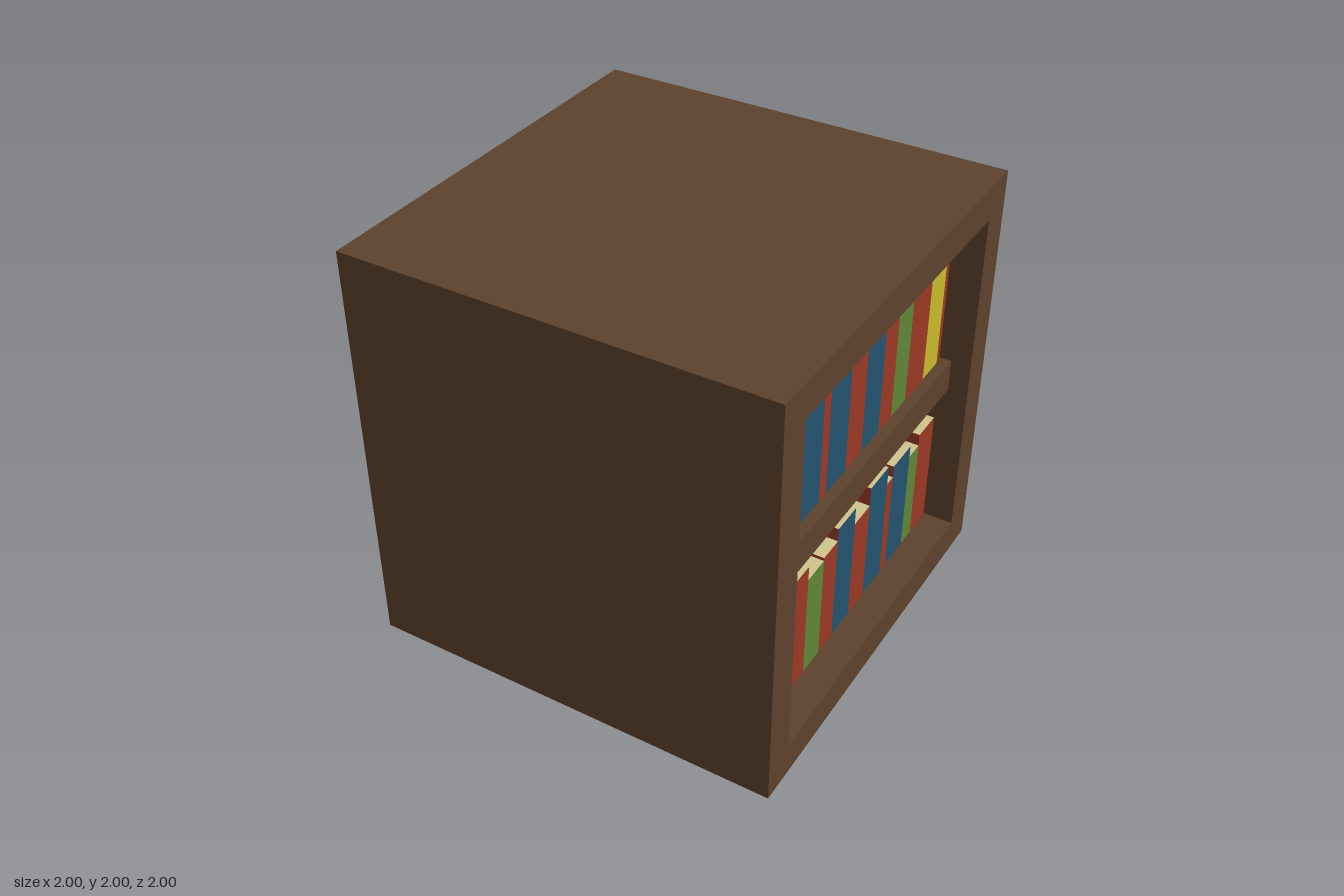
import * as THREE from 'three';

const mat = (name, color) => {
  const m = new THREE.MeshStandardMaterial({ color });
  m.name = name;
  return m;
};

export function createModel() {
  const group = new THREE.Group();
  group.name = 'bookcase';
  const wood = mat('brown wood', 0x5d422d);
  const red = mat('red cover', 0x9a3924);
  const blue = mat('blue spine', 0x23536f);
  const green = mat('green spine', 0x5f8536);
  const yellow = mat('yellow spine', 0xc9ba2e);
  const paper = mat('cream paper', 0xd0c48e);

  // Box given by its lower and upper corners
  const box = (name, [x0, y0, z0], [x1, y1, z1], material, parent = group) => {
    const mesh = new THREE.Mesh(new THREE.BoxGeometry(x1 - x0, y1 - y0, z1 - z0), material);
    mesh.position.set((x0 + x1) / 2, (y0 + y1) / 2, (z0 + z1) / 2);
    mesh.name = name;
    parent.add(mesh);
    return mesh;
  };

  // Cube case, open on the +x side
  const outline = new THREE.Shape([[-1, 0], [1, 0], [1, 2], [-1, 2]].map(([a, b]) => new THREE.Vector2(a, b)));
  const w = 0.836;
  outline.holes.push(new THREE.Path([[-w, 0.165], [-w, 1.837], [w, 1.837], [w, 0.165]].map(([a, b]) => new THREE.Vector2(a, b))));
  const caseGeo = new THREE.ExtrudeGeometry(outline, { depth: 2, bevelEnabled: false });
  caseGeo.rotateY(Math.PI / 2).translate(-1, 0, 0);
  const frame = new THREE.Mesh(caseGeo, wood);
  frame.name = 'case';
  group.add(frame);
  box('backPanel', [-1, 0.165, -w], [-w, 1.837, w], wood);
  box('shelf', [-w, 0.925, -w], [0.905, 1.08, w], wood);

  // Row of books: spine colour, z from, z to, height above the shelf
  const books = [
    [red, 0.795, 0.765, 0.52], [yellow, 0.765, 0.615, 0.52], [red, 0.615, 0.427, 0.605],
    [green, 0.427, 0.285, 0.53], [red, 0.285, 0.157, 0.545], [blue, 0.157, -0.008, 0.612],
    [red, -0.008, -0.157, 0.52], [blue, -0.157, -0.335, 0.618], [red, -0.335, -0.395, 0.52],
    [blue, -0.395, -0.573, 0.58], [green, -0.573, -0.673, 0.52], [red, -0.673, -0.834, 0.58],
  ];
  const addRow = (name, y, mapZ) => {
    const row = new THREE.Group();
    row.name = name;
    group.add(row);
    for (const [spine, a, b, h] of books) {
      const za = mapZ(a), zb = mapZ(b);
      // faces: spine, page edge, top, bottom, two covers
      box('book', [0.69, y, Math.min(za, zb)], [0.853, y + h, Math.max(za, zb)],
        [spine, paper, paper, paper, red, red], row);
    }
  };
  addRow('lowerBooks', 0.165, z => z);
  addRow('upperBooks', 1.08, z => -z - 0.022);

  return group;
}
